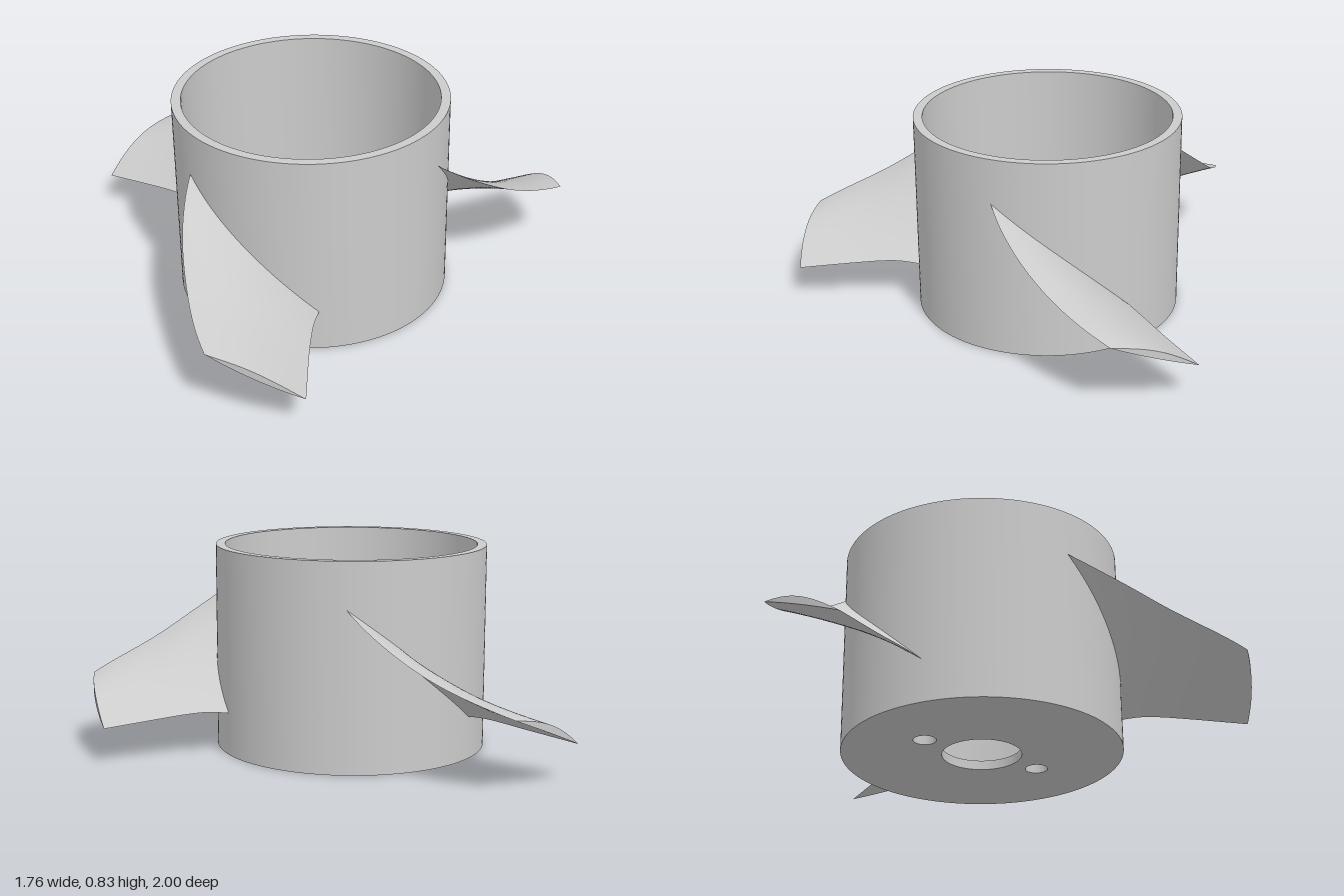
import * as THREE from 'three';
import { mergeGeometries, toCreasedNormals } from 'three/addons/utils/BufferGeometryUtils.js';
import { ParametricGeometry } from 'three/addons/geometries/ParametricGeometry.js';

const R = 0.555, INNER = 0.517, HEIGHT = 0.835, FLOOR = 0.038;
const material = new THREE.MeshStandardMaterial({ color: 0xcccccc });

// Round plate with round holes [x, z, radius], standing from y0 to y1
function plate(name, radius, holes, y0, y1) {
  const shape = new THREE.Shape().absarc(0, 0, radius, 0, Math.PI * 2);
  for (const [x, z, r] of holes) {
    shape.holes.push(new THREE.Path().absarc(x, -z, r, 0, Math.PI * 2, true));
  }
  const geo = new THREE.ExtrudeGeometry(shape, { depth: y1 - y0, bevelEnabled: false, curveSegments: 72 });
  geo.rotateX(-Math.PI / 2).translate(0, y0, 0);
  const mesh = new THREE.Mesh(toCreasedNormals(geo, 0.6), material);
  mesh.name = name;
  return mesh;
}

// Blade edges as points (angle in degrees towards +z, height, radius from the axis)
const edge = (points) => new THREE.CatmullRomCurve3(points.map((p) => new THREE.Vector3(...p)));
const leading = edge([[47.5, 0.672, 0.53], [32.7, 0.525, 0.695], [21.3, 0.41, 0.848], [9.2, 0.302, 1.063]]);
const trailing = edge([[-15.2, 0.172, 0.53], [-12, 0.18, 0.695], [-11.2, 0.168, 0.848], [-10.9, 0.15, 1.063]]);

// Point on the blade: s from root to tip, t from leading to trailing edge,
// k from the lower skin (0) to the upper skin (1)
function bladePoint(s, t, k, target) {
  const p = leading.getPoint(s).lerp(trailing.getPoint(s), t);
  const a = THREE.MathUtils.degToRad(p.x);
  const upper = THREE.MathUtils.lerp(0.018, 0.032, s);
  const lower = THREE.MathUtils.lerp(-0.02, 0.0, s);
  const y = p.y + THREE.MathUtils.lerp(lower, upper, k) * Math.sin(Math.PI * t);
  target.set(p.z * Math.cos(a), y, p.z * Math.sin(a));
}

function bladeGeometry() {
  const skins = [
    new ParametricGeometry((u, v, p) => bladePoint(u, v, 1, p), 28, 24), // upper skin
    new ParametricGeometry((u, v, p) => bladePoint(u, 1 - v, 0, p), 28, 24), // lower skin
    new ParametricGeometry((u, v, p) => bladePoint(1, u, v, p), 24, 1), // tip face
  ];
  skins.forEach((g) => g.computeVertexNormals());
  return mergeGeometries(skins);
}

export function createModel() {
  const group = new THREE.Group();
  group.name = 'propeller';

  // Cup-shaped hub: floor with shaft hole and two pin holes, plus the wall
  group.add(plate('hubFloor', R, [[0, 0, 0.157], [-0.058, -0.26, 0.045], [0.058, 0.26, 0.045]], 0, FLOOR));
  group.add(plate('hubWall', R, [[0, 0, INNER]], FLOOR, HEIGHT));

  // Three twisted blades around the hub
  const geo = bladeGeometry();
  for (let i = 0; i < 3; i++) {
    const blade = new THREE.Mesh(geo, material);
    blade.name = `blade${i + 1}`;
    blade.rotation.y = (i * Math.PI * 2) / 3;
    group.add(blade);
  }

  // The hub axis sits off the middle of the overall bounds
  group.position.set(-0.185, 0, -0.01);
  const model = new THREE.Group();
  model.add(group);
  return model;
}
